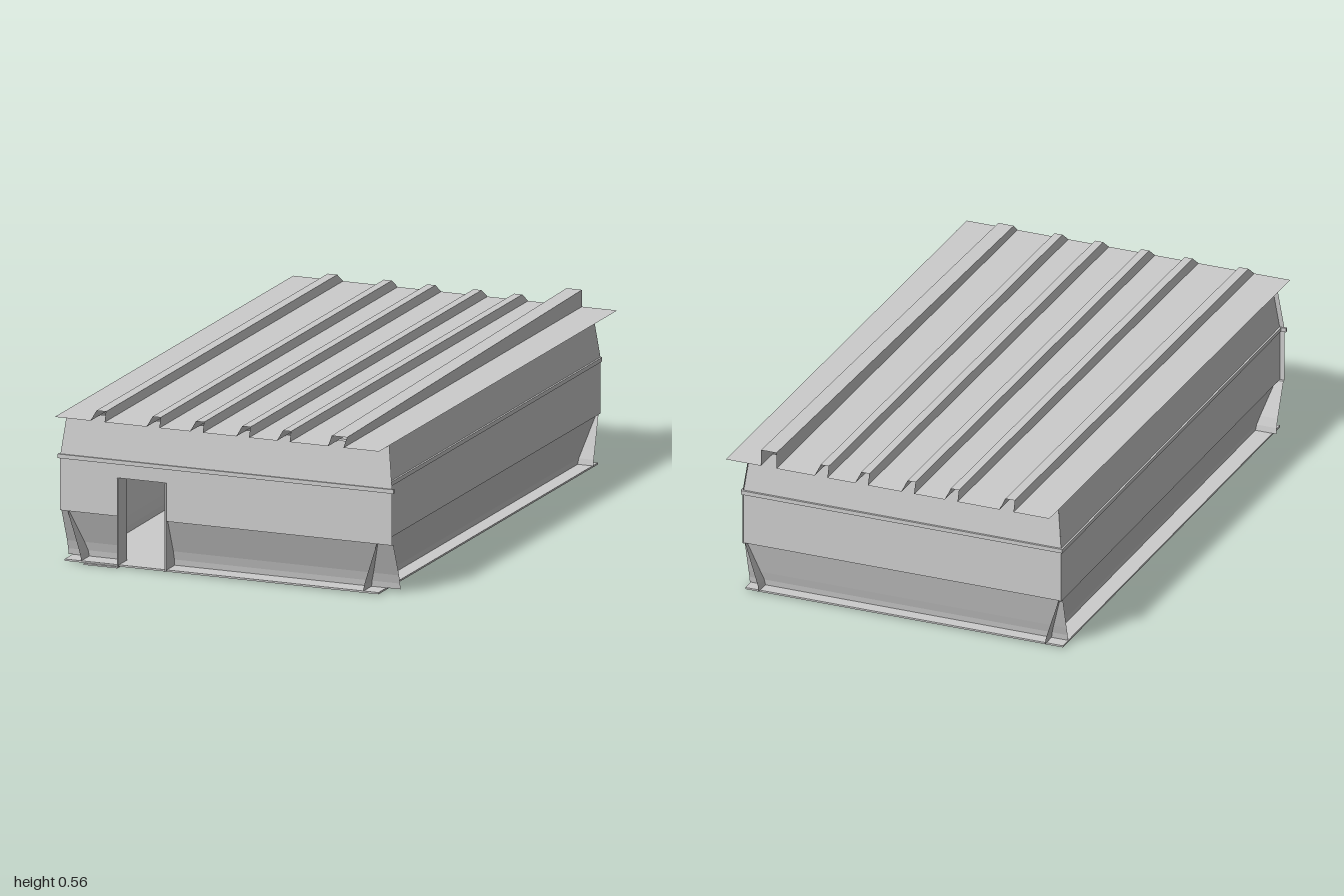
import * as THREE from 'three';

const sheet = new THREE.MeshStandardMaterial({ color: 0xcccccc, side: THREE.DoubleSide, flatShading: true });
const FRONT = 0.933, BACK = -0.918;               // planes of the end walls
const FOLD = 0.36, EAVES = 0.508;
const DOOR = { x0: -0.38, x1: -0.21, top: 0.305 };

// Sheet-metal mesh from a list of four-cornered panels
function panels(name, quads) {
  const pos = [];
  for (const [a, b, c, d] of quads) pos.push(...a, ...b, ...c, ...a, ...c, ...d);
  const g = new THREE.BufferGeometry();
  g.setAttribute('position', new THREE.Float32BufferAttribute(pos, 3));
  g.computeVertexNormals();
  const m = new THREE.Mesh(g, sheet);
  m.name = name;
  return m;
}

function box(name, x0, x1, y0, y1, z0, z1) {
  const m = new THREE.Mesh(new THREE.BoxGeometry(x1 - x0, y1 - y0, z1 - z0), sheet);
  m.position.set((x0 + x1) / 2, (y0 + y1) / 2, (z0 + z1) / 2);
  m.name = name;
  return m;
}

// Wall profile [inset, height]: flared skirt, upright band, leaning top
const profile = (bottom) => [
  [bottom, 0.01], [bottom - 0.003, 0.03], [bottom - 0.012, 0.06], [0.01, 0.175],
  [0, 0.175], [0, DOOR.top], [0, FOLD], [0.018, EAVES],
];

// Wall across the width, from x = l to r, outward along s
function endWall(name, s, l, r, z, bottom) {
  const quads = [], steps = profile(bottom);
  for (let i = 0; i + 1 < steps.length; i++) {
    const [d0, y0] = steps[i], [d1, y1] = steps[i + 1];
    const lean = y1 === EAVES ? d1 : 0;           // only the top narrows
    const spans = s > 0 && y1 <= DOOR.top ? [[l, DOOR.x0], [DOOR.x1, r]] : [[l, r]];
    for (const [a, b] of spans) quads.push([
      [a, y0, z - s * d0], [b, y0, z - s * d0],
      [b - lean, y1, z - s * d1], [a + lean, y1, z - s * d1]]);
  }
  return panels(name, quads);
}

// Wall along the length, from xf at the front to xb at the back
function sideWall(name, s, xf, xb) {
  const quads = [], steps = profile(0.058);
  for (let i = 0; i + 1 < steps.length; i++) {
    const [d0, y0] = steps[i], [d1, y1] = steps[i + 1];
    const lean = y1 === EAVES ? d1 : 0;
    quads.push([
      [xf - s * d0, y0, FRONT], [xb - s * d0, y0, BACK - 0.004],
      [xb - s * d1, y1, BACK - 0.004 + lean], [xf - s * d1, y1, FRONT - lean]]);
  }
  return panels(name, quads);
}

// Hollow roof rib with slanted ends; t tapers the sides, rise lifts the back end
function rib(name, x0, x1, t, rise) {
  const y = EAVES, zb = rise ? -1 : -0.97, yf = 0.536, yb = yf + rise;
  const A = [x0, y, 1], B = [x0 + t, yf, 0.97], C = [x1 - t, yf, 0.97], D = [x1, y, 1];
  const E = [x0, y, -1], F = [x0 + t, yb, zb], G = [x1 - t, yb, zb], H = [x1, y, -1];
  return panels(name, [[A, B, F, E], [B, C, G, F], [C, D, H, G]]);
}

export function createModel() {
  const model = new THREE.Group();
  model.name = 'metalShed';

  // Base plate, slightly skewed on one long side, and threshold
  const base = new THREE.Shape();
  base.moveTo(-0.572, -0.93).lineTo(0.547, -0.93).lineTo(0.547, 0.91).lineTo(-0.588, 0.91);
  const floor = new THREE.Mesh(new THREE.ExtrudeGeometry(base, { depth: 0.006, bevelEnabled: false }), sheet);
  floor.rotation.x = -Math.PI / 2;
  floor.position.y = 0.004;
  floor.name = 'floor';
  model.add(floor, box('threshold', -0.5, DOOR.x0, 0, 0.005, 0.87, 0.94));

  // Walls: the front one runs past the side walls
  model.add(endWall('frontWall', 1, -0.587, 0.597, FRONT, 0.07));
  model.add(endWall('backWall', -1, -0.587, 0.55, BACK, 0.053));
  model.add(sideWall('leftWall', 1, 0.552, 0.552), sideWall('rightWall', -1, -0.57, -0.587));

  // Trim around the walls at the fold
  model.add(box('frontTrim', -0.594, 0.604, 0.352, 0.366, FRONT - 0.005, FRONT + 0.005));
  model.add(box('backTrim', -0.592, 0.556, 0.352, 0.366, BACK - 0.007, BACK + 0.005));
  model.add(box('leftTrim', 0.547, 0.558, 0.352, 0.366, BACK, FRONT));
  const rightTrim = box('rightTrim', -0.005, 0.005, 0.352, 0.366, BACK, FRONT);
  rightTrim.position.x = -0.579;
  rightTrim.rotation.y = Math.atan2(0.017, FRONT - BACK);
  model.add(rightTrim);

  // Jambs of the open doorway
  for (const x of [DOOR.x0, DOOR.x1]) {
    model.add(box('doorJamb', x - 0.002, x + 0.002, 0.005, DOOR.top, 0.865, 0.938));
  }

  // Roof: flat strips with hollow ribs between them
  const ribs = [[-0.45, -0.4], [-0.25, -0.205], [-0.095, -0.05], [0.07, 0.115], [0.215, 0.26], [0.397, 0.452]];
  let left = -0.578;
  const strips = [];
  for (const [a, b] of [...ribs, [0.578, 0]]) {
    strips.push([[left, EAVES, 1], [a, EAVES, 1], [a, EAVES, -1], [left, EAVES, -1]]);
    left = b;
  }
  model.add(panels('roofSheet', strips));
  ribs.forEach(([a, b], i) => model.add(
    i === 5 ? rib('slopedRoofRib', a, b, 0, 0.029) : rib('roofRib', a, b, 0.008, 0)));

  return model;
}
